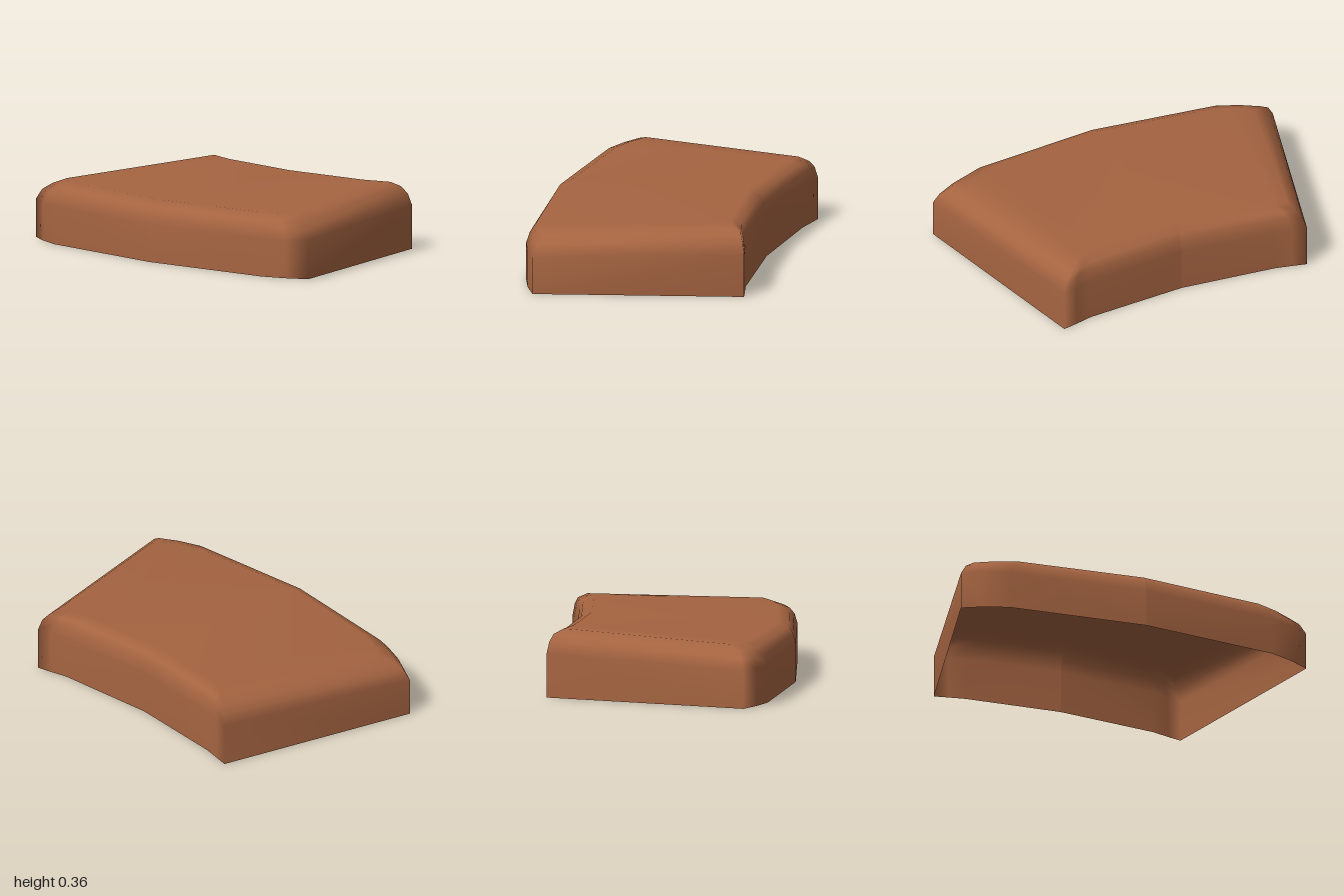
import * as THREE from 'three';

// Columns across one half, from the centre line out to the side
const ACROSS = [0, 0.76, 0.89, 1];
const FRONT_Z = [0.637, 0.567, 0.52, 0.46];
// Rings from the open base to the edge of the top: [height fraction, side inset, end inset]
const RINGS = [[0, 0, 0], [0.64, 0, 0], [0.81, 0.03, 0.012], [0.92, 0.08, 0.03], [1, 0.13, 0.08]];

function halfShell(side, backWidth, backZ) {
  const n = ACROSS.length;
  const cols = n * 2;
  const positions = [];
  const index = [];

  // Each ring runs along the front edge, round the side and along the back edge
  for (const [h, sideInset, endInset] of RINGS) {
    for (let i = 0; i < cols; i++) {
      const back = i >= n;
      const k = back ? cols - 1 - i : i;
      const v = back ? 1 - endInset : endInset;
      positions.push(
        side * ACROSS[k] * (1 - sideInset) * THREE.MathUtils.lerp(1, backWidth, v),
        h * THREE.MathUtils.lerp(0.322, 0.368, v),
        THREE.MathUtils.lerp(FRONT_Z[k], backZ[k], v)
      );
    }
  }

  const quad = (a, b, c, d) => {
    if (side > 0) index.push(a, b, c, a, c, d);
    else index.push(a, c, b, a, d, c);
  };
  // Walls and rounded shoulder
  for (let r = 0; r < RINGS.length - 1; r++) {
    for (let i = 0; i < cols - 1; i++) {
      const a = r * cols + i;
      quad(a, a + 1, a + 1 + cols, a + cols);
    }
  }
  // Top surface, bridging front edge to back edge
  const top = (RINGS.length - 1) * cols;
  for (let i = 0; i < n - 1; i++) {
    quad(top + i, top + i + 1, top + cols - 2 - i, top + cols - 1 - i);
  }

  const geometry = new THREE.BufferGeometry();
  geometry.setAttribute('position', new THREE.Float32BufferAttribute(positions, 3));
  geometry.setIndex(index);
  geometry.computeVertexNormals();
  return geometry;
}

export function createModel() {
  const terracotta = new THREE.MeshStandardMaterial({ color: 0xa56441, side: THREE.DoubleSide });
  terracotta.name = 'terracotta';

  const group = new THREE.Group();
  group.name = 'curvedWedgeShell';
  const halves = [
    ['leftHalf', 1, 0.73, [-0.552, -0.597, -0.622, -0.64]],
    ['rightHalf', -1, 0.703, [-0.552, -0.594, -0.613, -0.63]],
  ];
  for (const [name, side, backWidth, backZ] of halves) {
    const mesh = new THREE.Mesh(halfShell(side, backWidth, backZ), terracotta);
    mesh.name = name;
    group.add(mesh);
  }
  return group;
}
